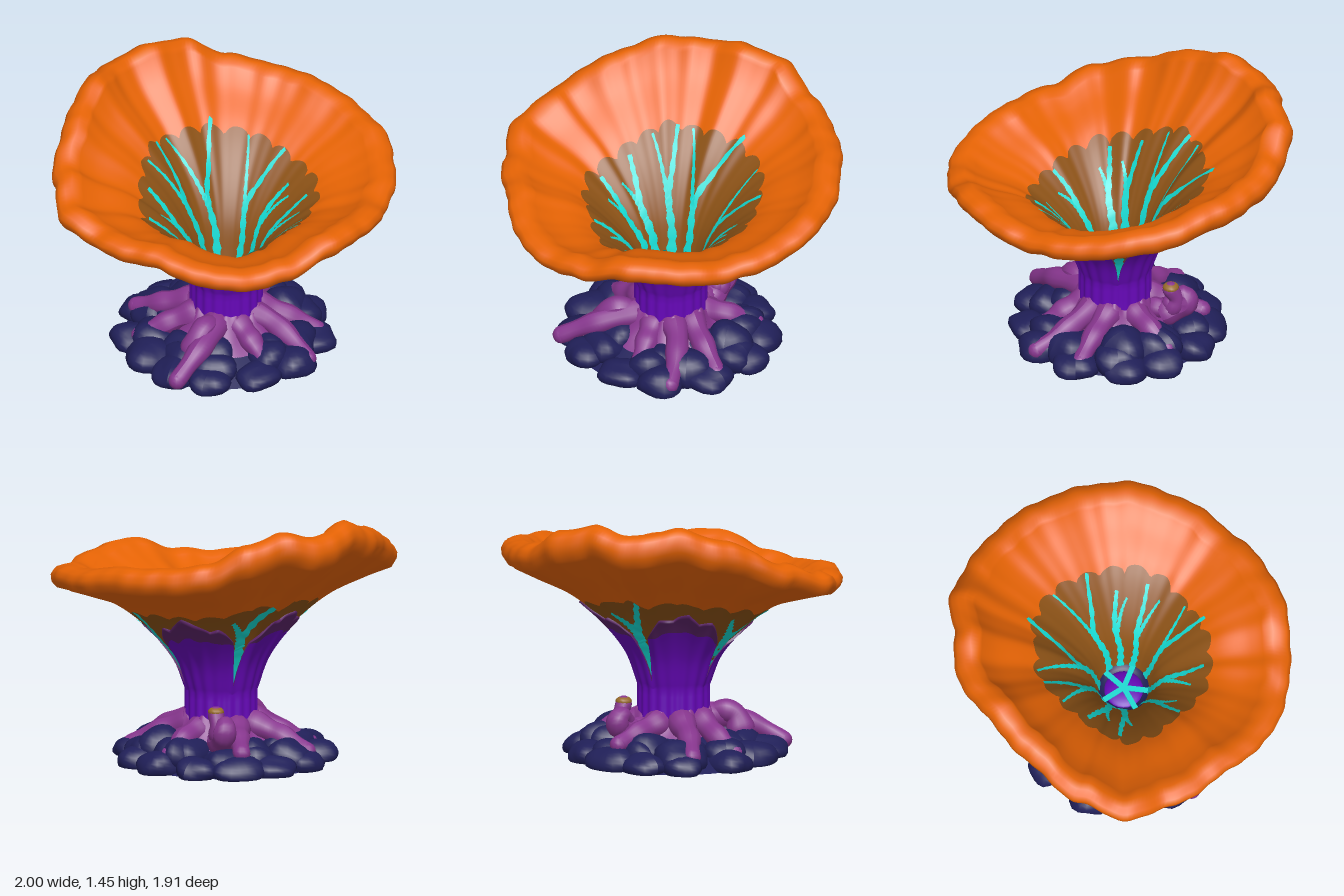
import * as THREE from 'three';

const mat = (name, hex, side = THREE.FrontSide) => {
  const m = new THREE.MeshStandardMaterial({ color: hex, side });
  m.name = name;
  return m;
};
const V = (x, y, z) => new THREE.Vector3(x, y, z);
const RAD = Math.PI / 180, N = 256, CX = 0.03, CZ = 0.02, R0 = 0.185;
let seed = 7;
const rand = () => (seed = (seed * 16807) % 2147483647) / 2147483647;

// rim of the bowl: angle (0 = +x, 90 = +z), radius, crest height
const RIM = [[0, 1, 1.16], [18, .985, 1.1], [38, .96, 1.06], [55, .966, 1.09], [70, .967, 1.11], [90, .95, 1.02],
  [105, .96, 1], [120, .95, 1.03], [137, .91, 1.08], [160, .94, 1.08], [177, .998, 1.14], [192, .945, 1.22],
  [215, .885, 1.37], [235, .885, 1.45], [252, .94, 1.41], [268, .925, 1.45], [282, .975, 1.4], [296, .97, 1.29],
  [314, .97, 1.25], [332, .97, 1.23], [347, .985, 1.18], [360, 1, 1.16]];
// upper edge of the sepals: angle, position up the bowl
const SEPAL = [[0, .03], [3, .14], [10, .32], [22, .42], [45, .5], [56, .44], [62, .36], [66, .56], [90, .64], [113, .57], [118, .36],
  [124, .43], [137, .48], [160, .38], [172, .28], [180, .06], [189, .3], [205, .43], [215, .41], [225, .48], [236, .41],
  [247, .43], [262, .3], [270, .06], [278, .32], [292, .44], [298, .42], [315, .53], [331, .42], [337, .44], [350, .32], [357, .14], [360, .03]];

function lookup(table, th, col, smooth) {
  const d = ((th / RAD) % 360 + 360) % 360;
  let i = 0;
  while (table[i + 1][0] < d) i++;
  const a = table[i], b = table[i + 1];
  let t = (d - a[0]) / (b[0] - a[0]);
  if (smooth) t = t * t * (3 - 2 * t);
  return a[col] + (b[col] - a[col]) * t;
}

// bowl profile: radius share, height share for low rims, height share for high rims
const PROFILE = new THREE.CatmullRomCurve3([V(0, 0, 0), V(.1, .31, .24), V(.3, .6, .49), V(.56, .85, .7), V(.82, .95, .87), V(1, 1, 1)]);

function rim(th) {
  const R = lookup(RIM, th, 1, true) + .004 * Math.sin(17 * th) + .003 * Math.sin(41 * th + 1) - .005;
  const H = lookup(RIM, th, 2, true) + .004 * Math.sin(23 * th + 2);
  const k = THREE.MathUtils.clamp((H - 1.07) / .33, 0, 1);
  return { R, H, k, d: .11 + .06 * k };
}
const polar = (th, r, y, f = 0) => V(CX * (1 - f) + r * Math.cos(th), y, CZ * (1 - f) + r * Math.sin(th));

function outer(th, u, lift = 0) {
  const { R, H, k, d } = rim(th), p = PROFILE.getPoint(THREE.MathUtils.clamp(u, 0, 1));
  const fold = .003 * Math.sin(14 * th + 3 * u) * u + .003 * Math.sin(31 * th) * u * u;
  const r = R0 + (R - .03 - R0) * p.x + fold + lift * (1 - .6 * u);
  return polar(th, r, .4 + (H - d - .4) * (p.y + (p.z - p.y) * k) - lift * u, p.x);
}
// the wall is thickest halfway up, above all where the rim is high
function inner(th, u, lift = 0) {
  const { k, d } = rim(th), p = outer(th, u);
  const s = .045 + .015 * u + .05 * u ** 4 + lift * (1 - u);
  const y = p.y + .03 * u + (d - .05) * u ** 4 + (.03 + .06 * k) * 4 * u * (1 - u) + lift * u;
  return V(p.x - s * Math.cos(th), y, p.z - s * Math.sin(th));
}

// closed skin through one cross-section per angle
function loft(name, material, section) {
  const pos = [], idx = [];
  let m;
  for (let i = 0; i < N; i++) {
    const pts = section(i / N * Math.PI * 2);
    m = pts.length;
    for (const p of pts) pos.push(p.x, p.y, p.z);
  }
  for (let i = 0; i < N; i++) for (let j = 0; j < m - 1; j++) {
    const a = i * m + j, b = ((i + 1) % N) * m + j;
    idx.push(a, a + 1, b, b, a + 1, b + 1);
  }
  return finish(name, material, pos, idx);
}
function finish(name, material, pos, idx) {
  const g = new THREE.BufferGeometry();
  g.setAttribute('position', new THREE.Float32BufferAttribute(pos, 3));
  g.setIndex(idx);
  g.computeVertexNormals();
  const mesh = new THREE.Mesh(g, material);
  mesh.name = name;
  return mesh;
}
const rows = (n, a, b, fn) => Array.from({ length: n + 1 }, (_, i) => fn(a + (b - a) * i / n));

// flat tapering ribbon lying on a surface; path is [degrees, position]
function vein(name, material, path, width, surface) {
  const curve = new THREE.CatmullRomCurve3(path.map(([a, u]) => V(a * RAD, u, 0)));
  const pos = [], idx = [], n = 28;
  for (let i = 0; i <= n; i++) {
    const p = curve.getPoint(i / n), t = curve.getTangent(i / n), q = surface(p.x, p.y, 0);
    const r = Math.max(.12, Math.hypot(q.x, q.z)), a = t.x * r, b = t.y * .9;
    const w = width * (1 - .6 * i / n) * (1 + .25 * Math.sin(i * 1.9)) / 2 / Math.hypot(a, b);
    for (const s of [-1, 1]) {
      const c = surface(p.x - s * w * b / r, Math.max(0, p.y + s * w * a / .9), .007);
      pos.push(c.x, c.y, c.z);
    }
    if (i < n) idx.push(2 * i, 2 * i + 1, 2 * i + 2, 2 * i + 1, 2 * i + 3, 2 * i + 2);
  }
  return finish(name, material, pos, idx);
}

// tapering tube with rounded tip
function root(name, material, points, r1, r2) {
  const curve = new THREE.CatmullRomCurve3(points.map(p => V(...p))), n = 24;
  const g = new THREE.TubeGeometry(curve, n, 1, 12), P = g.attributes.position;
  for (let i = 0; i < P.count; i++) {
    const t = Math.floor(i / 13) / n, c = curve.getPointAt(t), v = V(0, 0, 0).fromBufferAttribute(P, i);
    v.sub(c).multiplyScalar((r1 + (r2 - r1) * t) * (1 + .08 * Math.sin(t * 14))).add(c);
    P.setXYZ(i, v.x, Math.max(0, v.y), v.z);
  }
  g.computeVertexNormals();
  const group = new THREE.Group();
  group.name = name;
  const tip = new THREE.Mesh(new THREE.SphereGeometry(r2 * 1.08, 12, 8), material);
  tip.position.set(...points[points.length - 1]);
  tip.name = 'rootTip';
  group.add(new THREE.Mesh(g, material), tip);
  group.children[0].name = 'rootBody';
  return group;
}

// lumpy stone with a flat foot
function rock(material, x, y, z, rx, ry) {
  const g = new THREE.SphereGeometry(1, 18, 14), P = g.attributes.position, f = rand() * 6;
  const turn = rand() * 6, c = Math.cos(turn), s = Math.sin(turn);
  for (let i = 0; i < P.count; i++) {
    const a = P.getX(i), b = P.getY(i), d = P.getZ(i);
    const k = 1 + .09 * Math.sin(3 * a + f) + .08 * Math.sin(4 * d + 2 * b + f) - .12 * Math.max(0, Math.abs(a) - .55);
    const px = a * k * rx * 1.1, pz = d * k * rx * .95;
    P.setXYZ(i, x + px * c - pz * s, Math.max(0, y + b * k * ry), z + px * s + pz * c);
  }
  g.computeVertexNormals();
  const m = new THREE.Mesh(g, material);
  m.name = 'rock';
  return m;
}

export function createModel() {
  const model = new THREE.Group();
  const orange = mat('petalOrange', 0xe66304), brown = mat('throatBrown', 0x8c5216), purple = mat('stalkPurple', 0x6607b8);
  const plum = mat('sepalTipPlum', 0x5c2468), mauve = mat('rootMauve', 0x87368e), navy = mat('rockNavy', 0x201f58);
  const cyan = mat('veinCyan', 0x14dad2, THREE.DoubleSide), tan = mat('stumpTan', 0x966a2a);

  // bowl
  const sepalEdge = th => lookup(SEPAL, th, 1, false);
  const plumEdge = th => sepalEdge(th) - Math.max(0, sepalEdge(th) - .3) * .62 - .015 * Math.sin(th * 9) ** 2;
  const outBrown = th => Math.max(sepalEdge(th) + .03, .52 + .035 * Math.abs(Math.sin(th * 10)));
  const inBrown = th => .52 + .05 * Math.sqrt(Math.abs(Math.sin(th * 11))) + .015 * Math.cos(th + .7) + .012 * Math.sin(th * 5);
  model.add(loft('bowl', orange, th => {
    const { R, H, d } = rim(th);
    return [...rows(14, outBrown(th), 1, u => outer(th, u)),
      polar(th, R - .004, H - d * .72, 1), polar(th, R, H - d * .45, 1), polar(th, R - .018, H - d * .2, 1),
      polar(th, R - .055, H - .01, 1), polar(th, R - .095, H, 1),
      ...rows(14, 1, inBrown(th), u => inner(th, u))];
  }));
  model.add(loft('bowlOuterShade', brown, th => rows(12, Math.max(0, sepalEdge(th) - .03), outBrown(th), u => outer(th, u))));
  model.add(loft('bowlInnerShade', brown, th => rows(16, inBrown(th), 0, u => inner(th, u))));

  // stalk opening into sepals with darker tips
  const sepal = (th, u) => outer(th, u, .014 + .004 * Math.sin(20 * th));
  model.add(loft('stalkAndSepals', purple, th => [
    ...rows(5, .1, .36, y => polar(th, R0 + .014 + .004 * Math.sin(20 * th) + .25 * Math.max(0, .25 - y) ** 1.5, y)),
    ...rows(12, 0, plumEdge(th), u => sepal(th, u))]));
  model.add(loft('sepalTips', plum, th => [...rows(6, plumEdge(th), sepalEdge(th), u => sepal(th, u)), outer(th, sepalEdge(th), -.004)]));

  // throat floor
  model.add(loft('throatRing', navy, th => [inner(th, 0), polar(th, .12, .38), polar(th, .095, .375)]));
  const floor = new THREE.Mesh(new THREE.SphereGeometry(.11, 24, 8, 0, Math.PI * 2, 0, Math.PI / 2), purple);
  floor.scale.y = .3;
  floor.position.set(CX, .372, CZ);
  floor.name = 'throatFloor';
  model.add(floor);
  for (const a of [20, 95, 150, 235, 310]) {
    const spoke = new THREE.Mesh(new THREE.BoxGeometry(.14, .008, .03), cyan);
    spoke.position.copy(polar(a * RAD, .068, .406));
    spoke.rotation.y = -a * RAD;
    spoke.name = 'throatVein';
    model.add(spoke);
  }

  // glowing veins inside: trunk angle, then two branch ends [angle, position]
  const veins = [[272, [287, .61], [253, .56]], [237, [243, .57], [225, .55]], [322, [336, .57], [310, .57]], [200, [205, .5], [190, .42]],
    [178, [180, .5], [170, .42]], [135, [131, .51], [122, .42]], [96, [90, .52], [104, .45]], [58, [61, .58], [46, .53]], [18, [16, .52], [28, .47]], [350, [354, .46], [362, .42]]];
  for (const [a, b, c] of veins) {
    model.add(vein('innerVein', cyan, [[a, 0], [a + 3, .12], [a - 2, .26], [(a + b[0]) / 2, .4], b], .046, inner));
    model.add(vein('innerVeinBranch', cyan, [[a - 1, .22], [(a + c[0]) / 2, .34], c], .028, inner));
  }
  // forked veins outside, in the gaps between sepals
  for (const a of [0, 180, 270]) {
    model.add(vein('outerVein', cyan, [[a, .03], [a, .18], [a + 1, .3], [a - 5, .42], [a - 12, .56]], .07, outer));
    model.add(vein('outerVeinBranch', cyan, [[a, .27], [a + 5, .37], [a + 12, .47]], .05, outer));
  }

  // roots
  model.add(loft('rootCollar', mauve, th => [polar(th, .36, .07), polar(th, .28 + .02 * Math.sin(7 * th), .14),
    polar(th, .23 + .008 * Math.sin(7 * th), .2), polar(th, .21, .25 + .03 * Math.sin(7 * th + 1) + .012 * Math.sin(16 * th)), polar(th, .19, .24)]));
  const roots = [
    [[-.08, .21, .14], [-.2, .19, .27], [-.34, .13, .36], [-.44, .07, .41]],
    [[.1, .22, .12], [.2, .19, .22], [.28, .12, .36], [.32, .06, .48]],
    [[.17, .22, .05], [.29, .17, .13], [.4, .12, .2], [.48, .07, .25]],
    [[.02, .2, .17], [.05, .15, .3], [.08, .08, .42]],
    [[-.27, .12, .25], [-.23, .22, .24], [-.16, .24, .2], [-.08, .2, .15]],
    [[.16, .2, -.06], [.29, .17, -.14], [.42, .1, -.24]],
    [[0, .21, -.15], [.04, .17, -.33], [.07, .13, -.46]],
    [[-.14, .22, .02], [-.3, .15, -.04], [-.45, .08, -.08]],
    [[-.1, .22, -.1], [-.24, .16, -.22], [-.35, .09, -.35]],
    [[.12, .15, -.24], [.14, .22, -.37], [.13, .27, -.35], [.14, .22, -.28]]];
  roots.forEach((p, i) => model.add(root('root' + (i + 1), mauve, p, .078, .046)));
  model.add(root('rootStump', mauve, [[.1, .18, -.18], [.15, .19, -.28], [.16, .26, -.31], [.16, .32, -.28]], .055, .043));
  const cap = new THREE.Mesh(new THREE.SphereGeometry(.046, 12, 8), tan);
  cap.scale.y = .6;
  cap.position.set(.16, .336, -.28);
  cap.name = 'stumpCap';
  model.add(cap);

  // rock mound
  const rocks = new THREE.Group();
  rocks.name = 'rockBase';
  const mound = new THREE.Mesh(new THREE.CylinderGeometry(.24, .54, .14, 32), navy);
  mound.position.y = .07;
  mound.name = 'mound';
  rocks.add(mound);
  for (const [n, r, y, rx, ry] of [[13, .49, .03, .135, .085], [10, .4, .06, .13, .1], [7, .31, .08, .12, .09]])
    for (let i = 0; i < n; i++) {
      const a = (i + rand() * .4) / n * Math.PI * 2, q = r + (rand() - .5) * .05, k = .85 + rand() * .25;
      rocks.add(rock(navy, .015 + q * Math.cos(a), y, q * Math.sin(a), rx * k, ry * k));
    }
  rocks.add(rock(navy, .4, .08, 0, .14, .125), rock(navy, .36, .08, -.2, .12, .11));
  model.add(rocks);
  return model;
}
